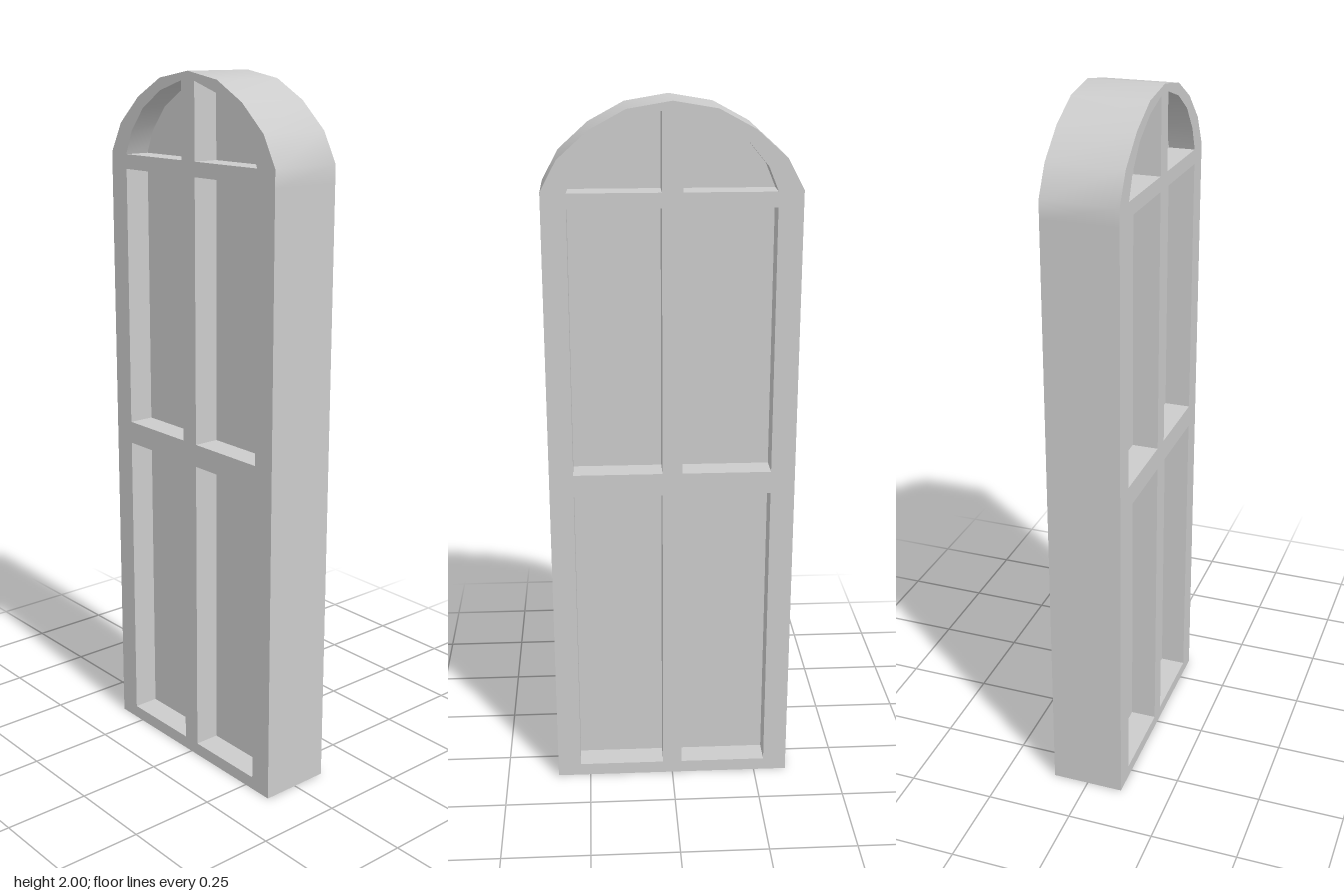
import * as THREE from 'three';
import { toCreasedNormals } from 'three/addons/utils/BufferGeometryUtils.js';

const DEPTH = 0.21;
const PANE_DEPTH = 0.06;

const toPoints = (pts) => pts.map(([x, y]) => new THREE.Vector2(x, y));
const mirror = (pts) => pts.map(([x, y]) => [-x, y]).reverse();

// Extrude a flat outline, centred on z = 0, smooth round the arch only
function slab(shape, depth) {
  const geo = new THREE.ExtrudeGeometry(shape, { depth, bevelEnabled: false });
  geo.translate(0, 0, -depth / 2);
  return toCreasedNormals(geo, THREE.MathUtils.degToRad(40));
}

export function createModel() {
  const group = new THREE.Group();
  group.name = 'archedWindow';
  const material = new THREE.MeshStandardMaterial({ color: 0xcccccc });

  const add = (name, geometry) => {
    const mesh = new THREE.Mesh(geometry, material);
    mesh.name = name;
    group.add(mesh);
  };

  // Outer outline: straight sides under a faceted arch
  const side = [[0.347, 0], [0.347, 1.72], [0.347, 1.77], [0.302, 1.853], [0.219, 1.927], [0.12, 1.98]];
  const frame = new THREE.Shape(toPoints([...side, [0, 2], ...mirror(side)]));

  // Openings on the left half: two rectangles and a quarter fan
  const inner = 0.028, outer = 0.279;
  const rect = (y0, y1) => [[inner, y0], [outer, y0], [outer, y1], [inner, y1]];
  const openings = {
    lowerPane: rect(0.037, 0.915),
    upperPane: rect(0.98, 1.726),
    fanPane: [[inner, 1.767], [outer, 1.767], [0.252, 1.832], [0.197, 1.898], [0.118, 1.947], [inner, 1.975]],
  };

  // Recessed panes, mirrored to both halves, each filling a hole in the frame
  for (const [name, pts] of Object.entries(openings)) {
    for (const [prefix, outline] of [['left', pts], ['right', mirror(pts)]]) {
      frame.holes.push(new THREE.Path(toPoints(outline)));
      const label = prefix + name[0].toUpperCase() + name.slice(1);
      add(label, slab(new THREE.Shape(toPoints(outline)), PANE_DEPTH));
    }
  }

  // Frame with its mullion and crossbars
  add('frame', slab(frame, DEPTH));
  return group;
}
